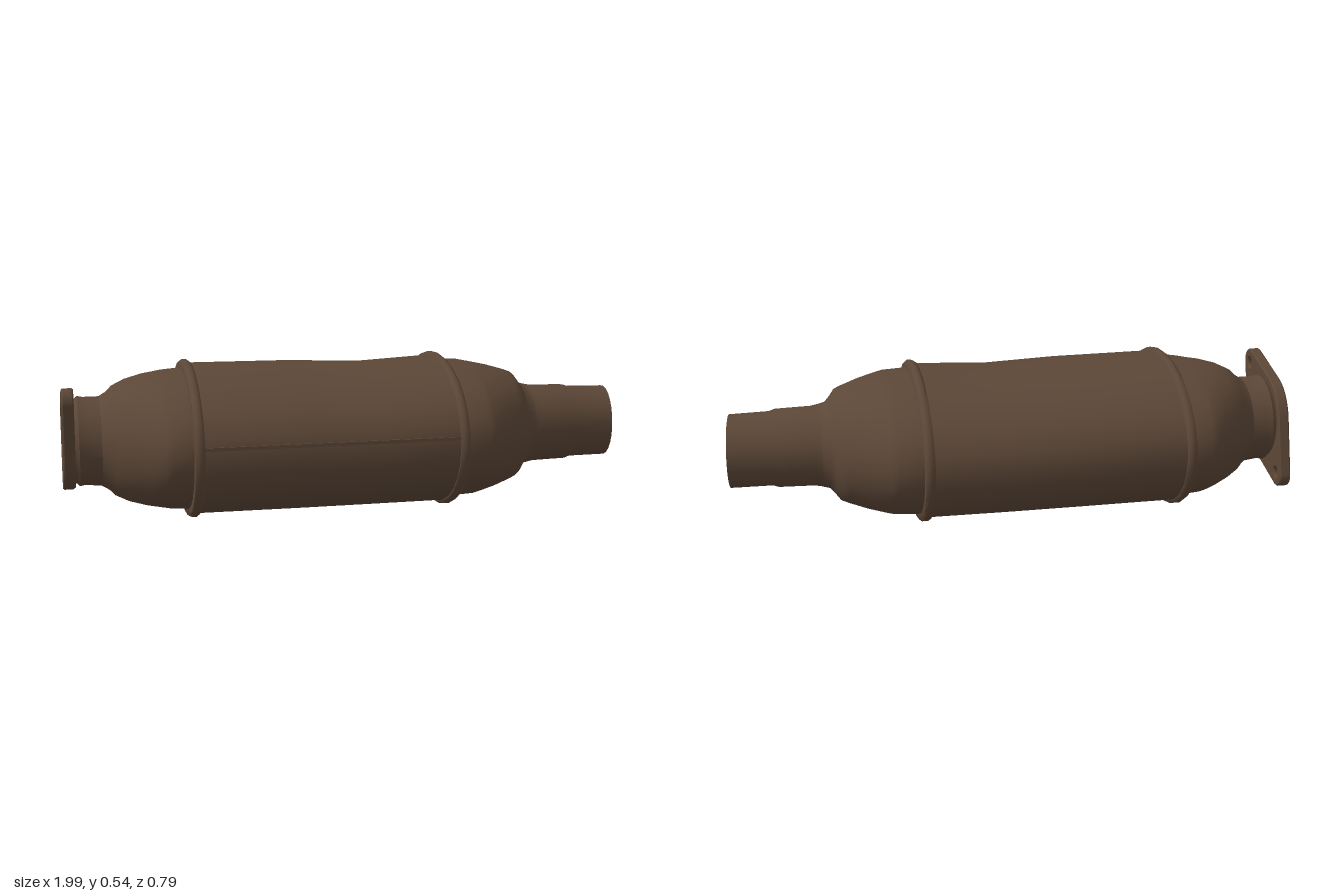
import * as THREE from 'three';
import { toCreasedNormals } from 'three/addons/utils/BufferGeometryUtils.js';

const CY = 0.275;
const SIDES = 28;

// Skin elliptical rings along x. Each station: [x, halfHeight, halfDepth, centreY, slant]
function loft(stations, sides = SIDES, crease = 0.6) {
  const pos = [], index = [];
  for (const [x, ry, rz, cy = CY, slant = 0] of stations) {
    for (let j = 0; j < sides; j++) {
      const t = (j / sides) * Math.PI * 2;
      const z = Math.sin(t) * rz;
      pos.push(x - slant * z, cy + Math.cos(t) * ry, z);
    }
  }
  for (let i = 0; i < stations.length - 1; i++) {
    for (let j = 0; j < sides; j++) {
      const k = (j + 1) % sides;
      const a = i * sides + j, b = i * sides + k;
      index.push(a, b, a + sides, b, b + sides, a + sides);
    }
  }
  const g = new THREE.BufferGeometry();
  g.setAttribute('position', new THREE.Float32BufferAttribute(pos, 3));
  g.setIndex(index);
  return toCreasedNormals(g, crease);
}

// Two-bolt flange outline: a centre disc joined by tangents to two diagonal ears
function flangeGeometry() {
  const R = 0.165, r = 0.045, d = 0.235;
  const alpha = Math.acos((R - r) / d), tilt = Math.PI / 4;
  const shape = new THREE.Shape();
  for (const a of [tilt, tilt + Math.PI]) {
    const ex = Math.cos(a) * d, ey = Math.sin(a) * d;
    shape.absarc(ex, ey, r, a - alpha, a + alpha, false);
    shape.absarc(0, 0, R, a + alpha, a + Math.PI - alpha, false);
    const bolt = new THREE.Path();
    bolt.absarc(ex * 0.97, ey * 0.97, 0.02, 0, Math.PI * 2, true);
    shape.holes.push(bolt);
  }
  const bore = new THREE.Path();
  bore.absarc(0, 0, 0.128, 0, Math.PI * 2, true);
  shape.holes.push(bore);
  return new THREE.ExtrudeGeometry(shape, {
    depth: 0.03, bevelEnabled: true, bevelThickness: 0.005, bevelSize: 0.004,
    bevelOffset: -0.004, bevelSegments: 1, curveSegments: 12,
  });
}

export function createModel() {
  const group = new THREE.Group();
  const steel = new THREE.MeshStandardMaterial({ color: 0x5c4737, side: THREE.DoubleSide });
  steel.name = 'brownSteel';
  const add = (name, geometry) => {
    const mesh = new THREE.Mesh(geometry, steel);
    mesh.name = name;
    group.add(mesh);
    return mesh;
  };

  // Oval main shell with a very shallow dent towards the outlet end
  add('shell', loft([
    [-0.56, 0.258, 0.386], [-0.2, 0.257, 0.386, 0.273],
    [0.06, 0.251, 0.386, 0.268], [0.32, 0.258, 0.386],
  ]));

  // Raised rims where the shell meets the cones
  for (const [name, x] of [['inletRim', -0.567], ['outletRim', 0.331]]) {
    add(name, loft([
      [x - 0.018, 0.24, 0.365], [x - 0.016, 0.264, 0.391], [x - 0.006, 0.271, 0.397],
      [x + 0.007, 0.271, 0.397], [x + 0.016, 0.264, 0.391], [x + 0.018, 0.24, 0.365],
    ], SIDES, 0.9));
  }

  // Lengthwise overlap seam on the front of the shell
  const seam = add('shellSeam', new THREE.BoxGeometry(0.87, 0.012, 0.012));
  seam.position.set(-0.118, 0.308, 0.378);

  // Inlet cone flowing into a short neck
  add('inletCone', loft([
    [-0.87, 0.155, 0.16], [-0.845, 0.17, 0.178], [-0.825, 0.19, 0.205],
    [-0.78, 0.211, 0.25], [-0.72, 0.226, 0.31], [-0.675, 0.232, 0.352],
    [-0.65, 0.236, 0.364], [-0.57, 0.243, 0.37],
  ], SIDES, 0.9));
  add('inletNeck', loft([
    [-0.97, 0.142, 0.142, 0.278], [-0.955, 0.146, 0.146, 0.278], [-0.945, 0.156, 0.156, 0.278],
    [-0.925, 0.152, 0.152, 0.278], [-0.87, 0.155, 0.16], [-0.85, 0.155, 0.16],
  ], SIDES, 0.9));

  // Stepped inlet bore and the closed face deep inside
  add('inletBore', loft([
    [-0.7, 0.001, 0.001], [-0.71, 0.08, 0.08], [-0.75, 0.125, 0.125], [-0.86, 0.13, 0.13],
    [-0.875, 0.118, 0.118], [-0.9, 0.118, 0.118], [-0.915, 0.13, 0.13, 0.278], [-0.97, 0.13, 0.13, 0.28],
  ]));

  // Outlet cone
  add('outletCone', loft([
    [0.33, 0.245, 0.37], [0.43, 0.24, 0.362], [0.455, 0.235, 0.35], [0.52, 0.222, 0.295],
    [0.585, 0.203, 0.24], [0.61, 0.194, 0.215], [0.628, 0.17, 0.182],
    [0.645, 0.151, 0.162], [0.67, 0.145, 0.15],
  ], SIDES, 0.9));

  // Stepped outlet pipe with an obliquely cut open end, then its inside wall
  add('outletPipe', loft([
    [0.64, 0.148, 0.158], [0.67, 0.145, 0.15], [0.695, 0.14, 0.142],
    [0.82, 0.137, 0.138], [0.84, 0.13, 0.131], [0.98, 0.128, 0.129, 0.274, 0.1],
    [0.978, 0.121, 0.121, 0.274, 0.1], [0.84, 0.12, 0.12], [0.66, 0.12, 0.12],
    [0.58, 0.11, 0.11], [0.53, 0.07, 0.07], [0.51, 0.001, 0.001],
  ], 24));

  // Bolt flange at the inlet end
  const flange = add('inletFlange', flangeGeometry());
  flange.rotation.y = -Math.PI / 2;
  flange.position.set(-0.965, 0.28, 0);

  return group;
}
